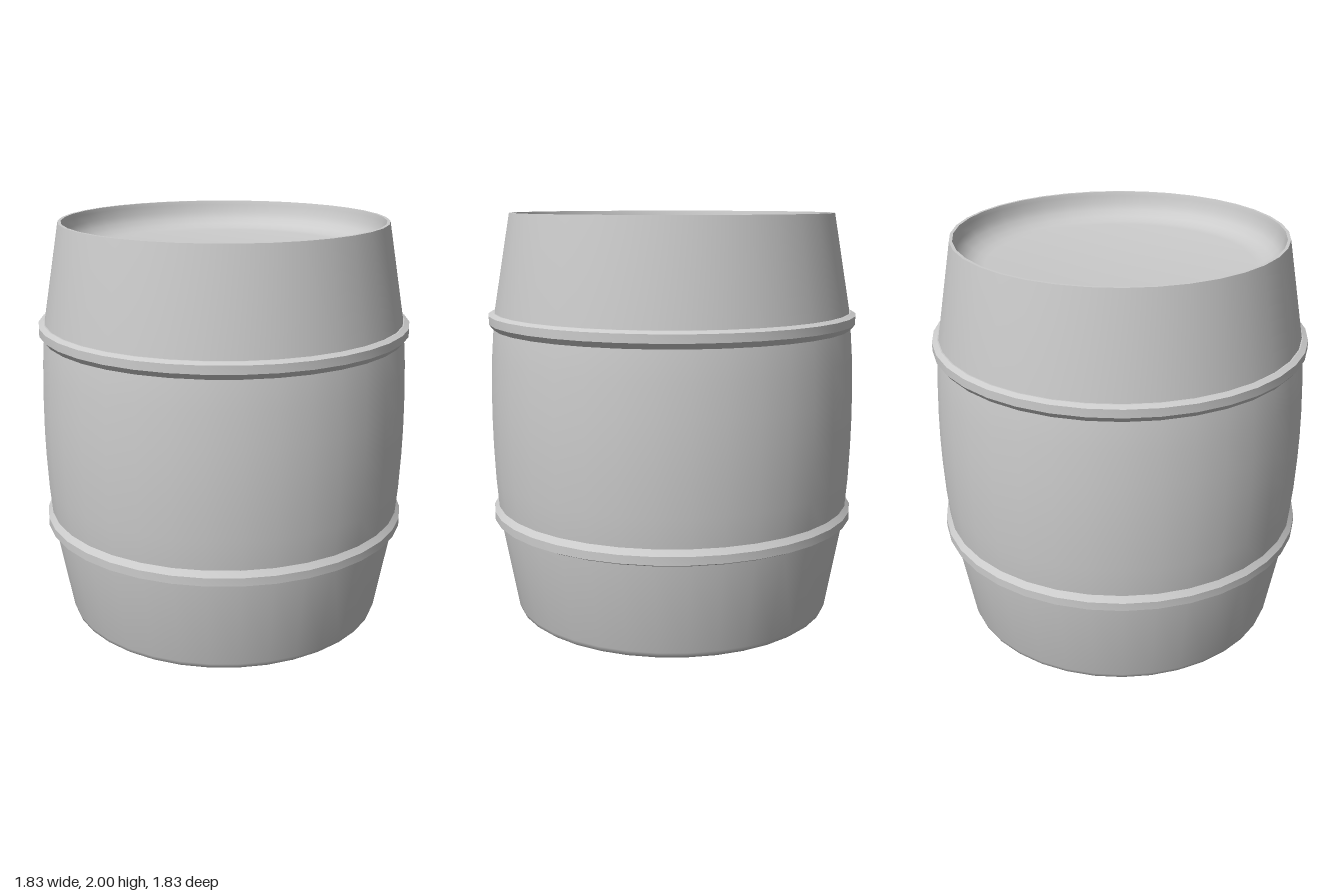
import * as THREE from 'three';
import { toCreasedNormals } from 'three/addons/utils/BufferGeometryUtils.js';

const SIDES = 36;
const material = new THREE.MeshStandardMaterial({ color: 0xcccccc });

// Revolves a list of [radius, height] pairs, keeping edges above the crease angle sharp.
function revolve(name, profile, crease) {
  const points = profile.map(([r, y]) => new THREE.Vector2(r, y));
  const geometry = toCreasedNormals(new THREE.LatheGeometry(points, SIDES), crease);
  const mesh = new THREE.Mesh(geometry, material);
  mesh.name = name;
  return mesh;
}

export function createModel() {
  const group = new THREE.Group();
  group.name = 'barrel';

  // Outer wall: straight tapered ends and a gently bulging middle
  const wall = [
    [0, 0], [0.785, 0], [0.798, 0.01], [0.805, 0.03], [0.888, 0.5],
    [0.904, 0.7], [0.911, 0.87], [0.913, 1], [0.911, 1.13], [0.904, 1.3],
    [0.888, 1.5], [0.8, 2],
  ];

  // Thin rim, then a rounded hollow down to the sunken lid
  const lid = [[0.785, 2]];
  const steps = 5;
  for (let i = 0; i <= steps; i++) {
    const a = (i / steps) * Math.PI / 2;
    lid.push([0.645 + 0.135 * Math.cos(a), 1.98 - 0.12 * Math.sin(a)]);
  }
  lid.push([0, 1.86]);
  group.add(revolve('body', [...wall, ...lid], 0.8));

  // Hoops: a narrow lip toward the barrel end, a longer slope toward the middle
  const hoop = [[0.87, 0.478], [0.89, 0.478], [0.915, 0.49], [0.915, 0.53], [0.892, 0.558], [0.87, 0.558]];
  const mirrored = hoop.map(([r, y]) => [r, 2 - y]).reverse();
  group.add(revolve('lowerHoop', hoop, 0.4));
  group.add(revolve('upperHoop', mirrored, 0.4));

  return group;
}
